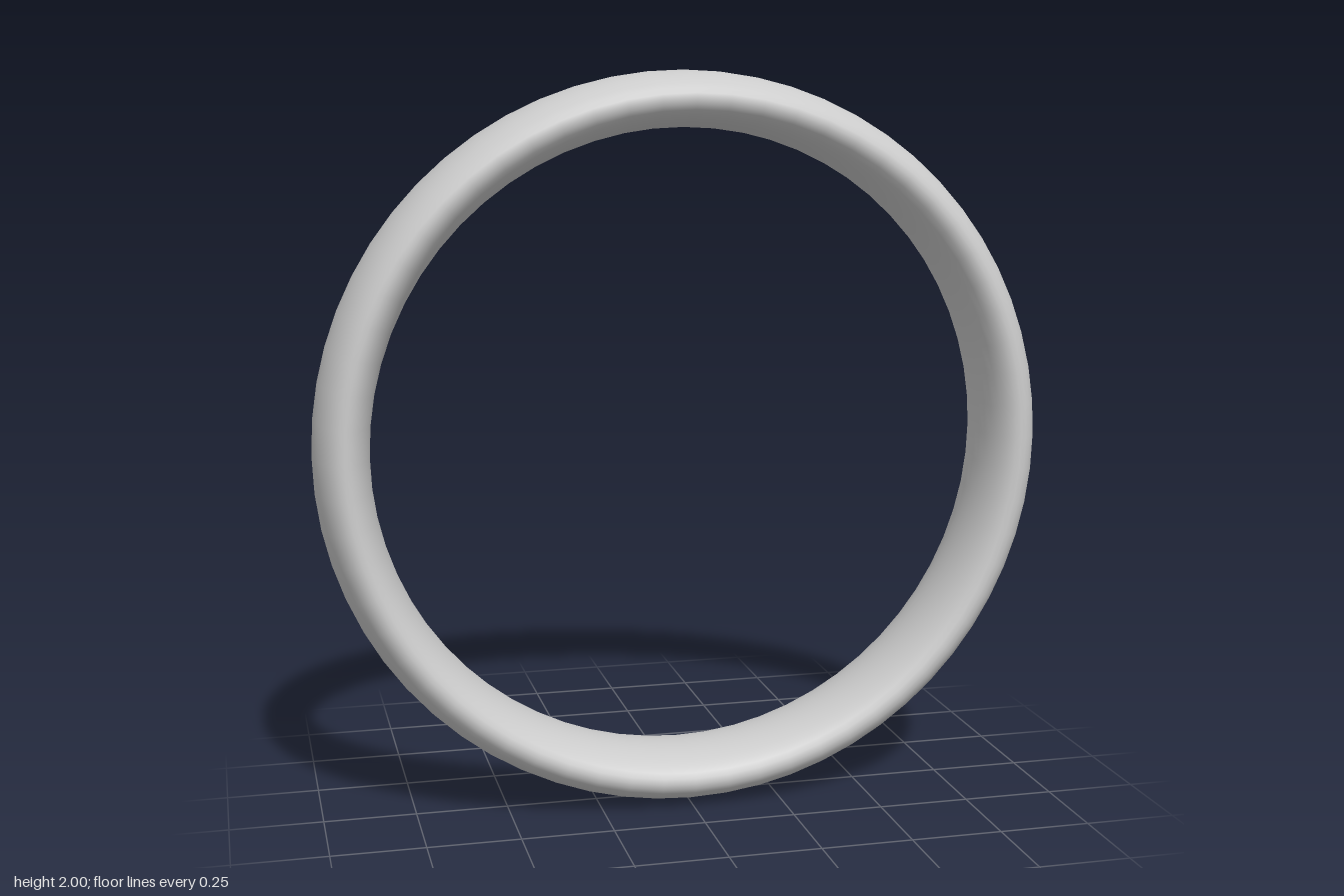
import * as THREE from 'three';

export function createModel() {
  const group = new THREE.Group();
  const material = new THREE.MeshStandardMaterial({ color: 0xcccccc });

  // Ring band: a torus widened along its axis into an elliptical section
  const outerRadius = 1, innerRadius = 0.85, halfWidth = 0.155;
  const tube = (outerRadius - innerRadius) / 2;
  const geometry = new THREE.TorusGeometry(outerRadius - tube, tube, 32, 64);
  geometry.scale(1, 1, halfWidth / tube);
  geometry.translate(0, outerRadius, 0);

  const band = new THREE.Mesh(geometry, material);
  band.name = 'ringBand';
  group.add(band);
  return group;
}
